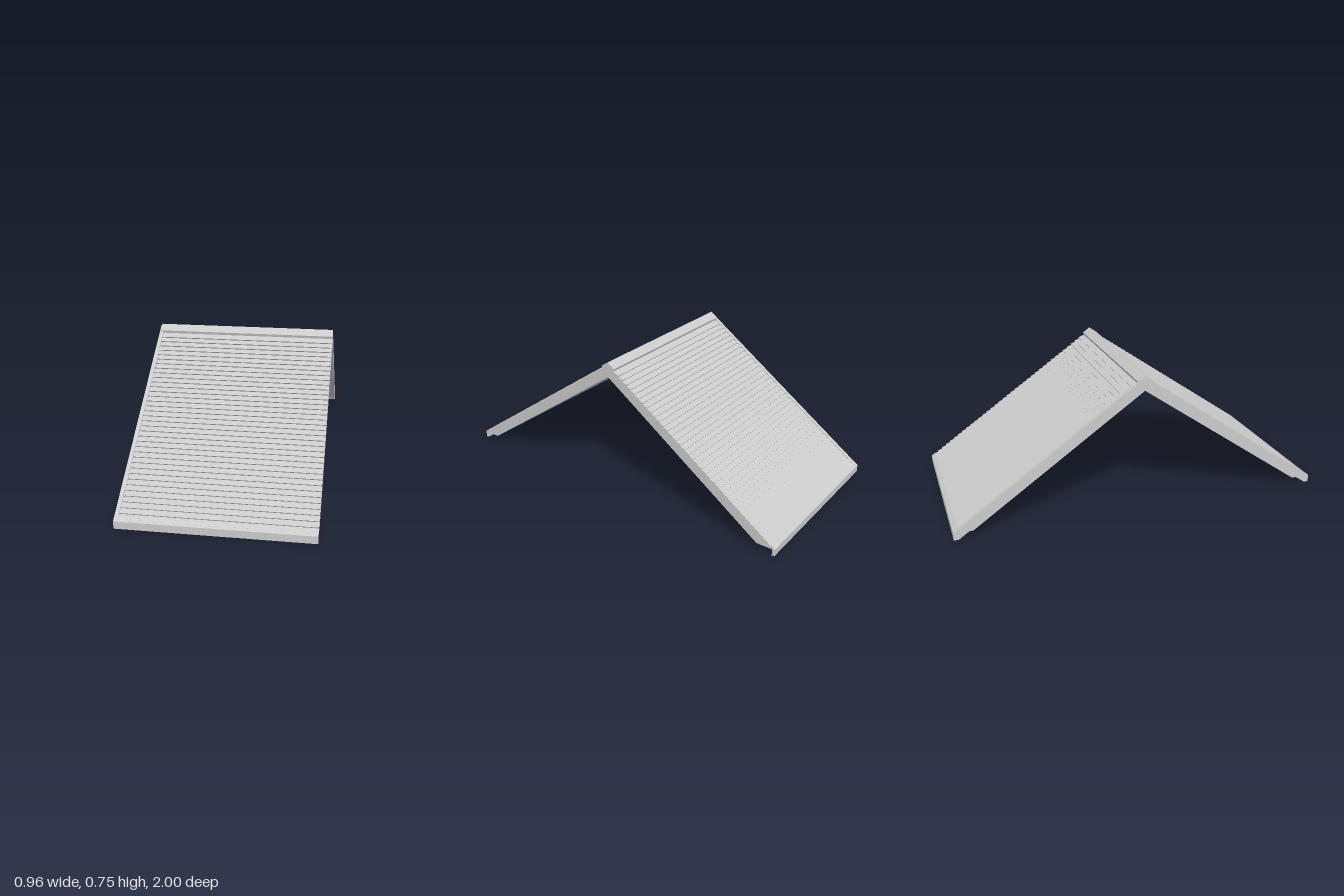
import * as THREE from 'three';

const SLOPE = 0.698;
const material = new THREE.MeshStandardMaterial({ color: 0xcccccc, flatShading: true });

// Extrudes a [z, y] outline along x, from x0 to x1
function extrudeX(name, points, x0, x1) {
  const shape = new THREE.Shape(points.map(([z, y]) => new THREE.Vector2(z, y)));
  const geometry = new THREE.ExtrudeGeometry(shape, { depth: x1 - x0, bevelEnabled: false });
  geometry.rotateY(-Math.PI / 2).translate(x1, 0, 0);
  const mesh = new THREE.Mesh(geometry, material);
  mesh.name = name;
  return mesh;
}

// Completes a gable outline whose half runs from the top ridge to the lower ridge
function mirrored(half) {
  const inner = half.slice(1, -1).reverse().map(([z, y]) => [-z, y]);
  return [...half, ...inner];
}

const onSlope = (z, ridge) => [z, ridge - SLOPE * z];

export function createModel() {
  const roof = new THREE.Group();
  roof.name = 'gableRoof';

  // Roof slab with overlapping courses of siding as a saw-tooth top
  const ridge = 0.728, courses = 37, start = 0.04, end = 0.985, lift = 0.007;
  const len = Math.hypot(1, SLOPE);
  const slab = [[0, ridge]];
  for (let i = 0; i < courses; i++) {
    const [z, y] = onSlope(start + (end - start) * i / courses, ridge);
    const [z2, y2] = onSlope(start + (end - start) * (i + 1) / courses, ridge);
    slab.push([z, y], [z2 + lift * SLOPE / len, y2 + lift / len]);
  }
  slab.push(onSlope(end, ridge), [end, 0.034], [0.9, 0.034], [0, 0.664]);
  roof.add(extrudeX('roofSlab', mirrored(slab), -0.472, 0.48));

  // Gable trim: a side board with a thin flange folded over the courses
  roof.add(extrudeX('gableTrimBoard', mirrored([
    [0, 0.738], [1, 0.04], [1, 0], [0.975, 0], [0, 0.68],
  ]), -0.48, -0.4725));
  roof.add(extrudeX('gableTrimFlange', mirrored([
    [0, 0.738], [1, 0.04], [0.99, 0.034], [0, 0.725],
  ]), -0.4725, -0.46));

  // Ridge cap
  roof.add(extrudeX('ridgeCap', mirrored([
    [0, 0.745], [0.04, 0.717], [0.036, 0.703], [0, 0.727],
  ]), -0.474, 0.48));

  // Eave fascias with a sloped top lip
  for (const side of [1, -1]) {
    const fascia = [[1, 0], [1, 0.038], [0.978, 0.054], [0.978, 0.04], [0.986, 0.034], [0.986, 0]];
    roof.add(extrudeX(side > 0 ? 'frontFascia' : 'backFascia',
      fascia.map(([z, y]) => [z * side, y]), -0.474, 0.48));
  }
  return roof;
}
